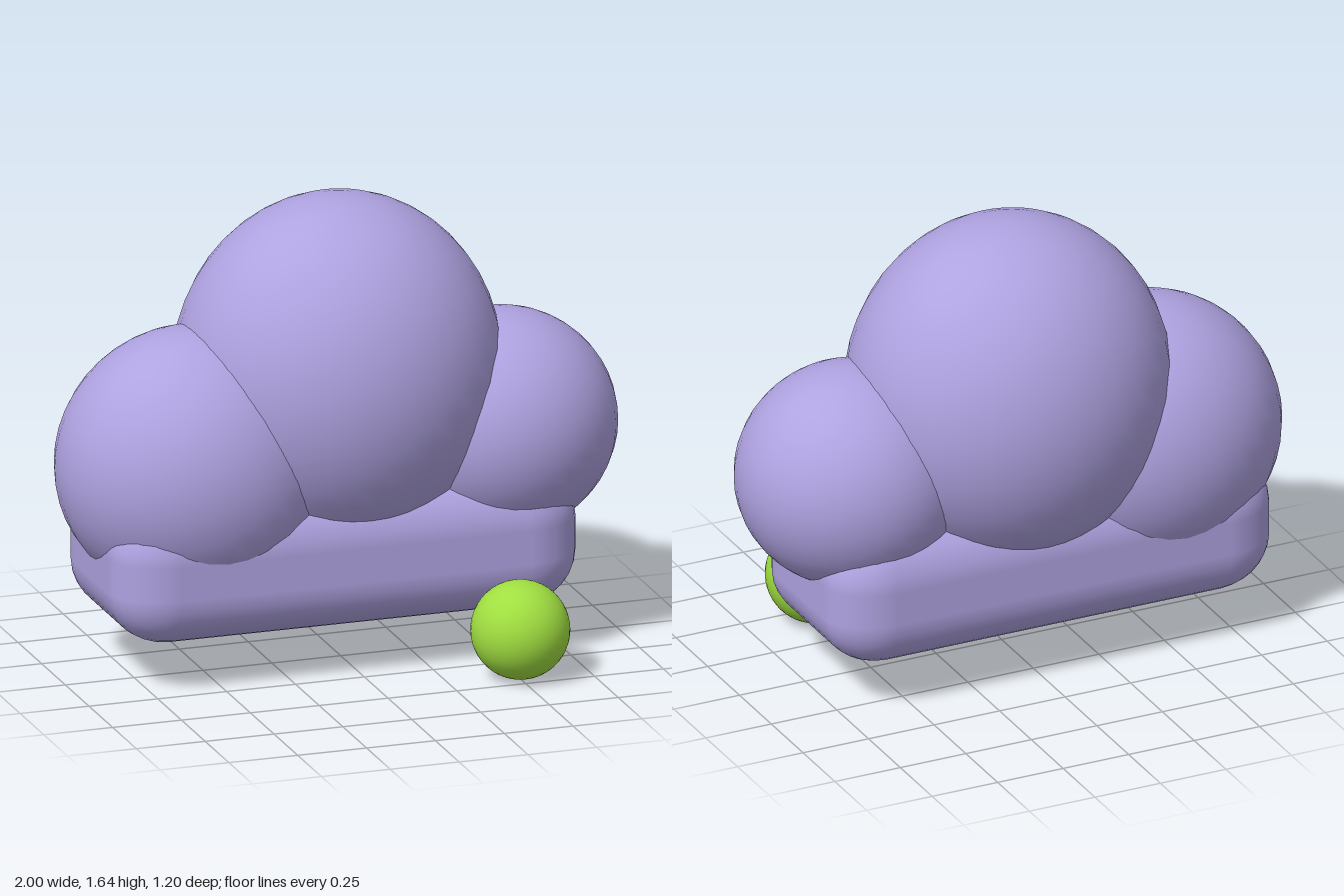
import * as THREE from 'three';
import { RoundedBoxGeometry } from 'three/addons/geometries/RoundedBoxGeometry.js';

export function createModel() {
  const group = new THREE.Group();
  const lavender = new THREE.MeshStandardMaterial({ name: 'lavender', color: 0xaea2e0 });
  const lime = new THREE.MeshStandardMaterial({ name: 'lime', color: 0xa0de40 });

  function add(name, geometry, material, position) {
    const mesh = new THREE.Mesh(geometry, material);
    mesh.name = name;
    mesh.position.set(...position);
    group.add(mesh);
  }

  function ellipsoid(rx, ry, rz) {
    return new THREE.SphereGeometry(1, 36, 24).scale(rx, ry, rz);
  }

  // Cloud puffs
  add('centrePuff', ellipsoid(0.575, 0.62, 0.52), lavender, [0.015, 1.02, -0.08]);
  add('rightPuff', ellipsoid(0.49, 0.48, 0.432), lavender, [-0.51, 0.74, -0.06]);
  add('leftPuff', ellipsoid(0.41, 0.397, 0.39), lavender, [0.588, 0.783, -0.033]);

  // Soft flat base, its rounding a little longer along x
  const base = new RoundedBoxGeometry(1.69 / 1.1, 0.5, 0.71 / 0.9, 4, 0.19).scale(1.1, 1, 0.9);
  add('base', base, lavender, [-0.045, 0.42, -0.055]);

  // Small ball in front
  add('ball', ellipsoid(0.172, 0.173, 0.172), lime, [0.505, 0.175, 0.428]);

  return group;
}
